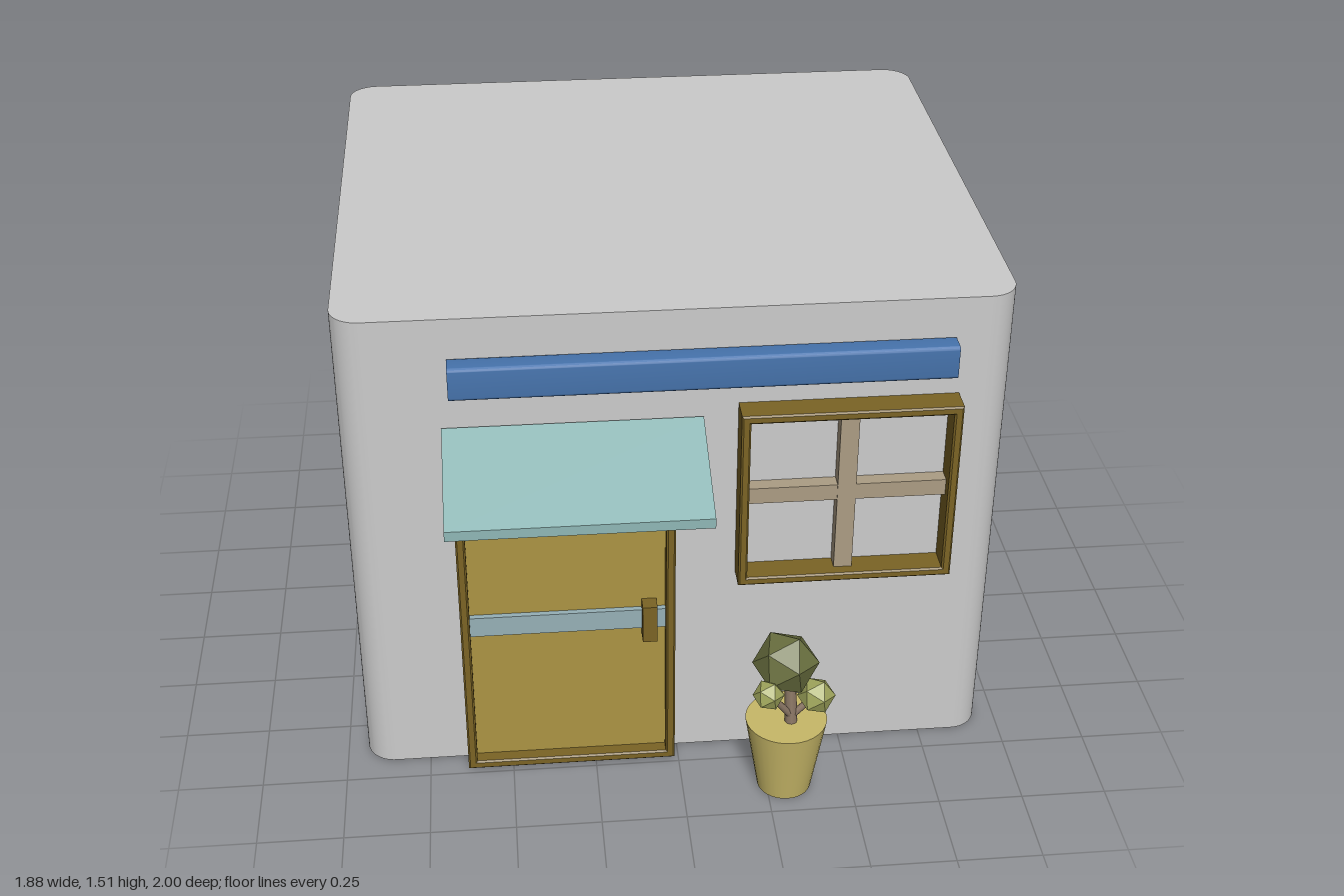
import * as THREE from 'three';
import { toCreasedNormals } from 'three/addons/utils/BufferGeometryUtils.js';

const WALL_Z = 0.67;

const mat = (color, flatShading = false) => new THREE.MeshStandardMaterial({ color, flatShading });
const grey = mat(0xcccccc);
const blue = mat(0x4673ac);
const teal = mat(0x8fb8b6);
const doorGold = mat(0xac9443);
const frameBrown = mat(0x7b6425);
const paleBlue = mat(0x96b0b6);
const barTan = mat(0xac9d84);
const potYellow = mat(0xc8b868);
const bark = mat(0x8c7866);
const darkLeaf = mat(0x6a7040, true);
const lightLeaf = mat(0xa0a65c, true);

function add(parent, name, geometry, material) {
  const mesh = new THREE.Mesh(geometry, material);
  mesh.name = name;
  parent.add(mesh);
  return mesh;
}

// Box given by its limits on each axis
function slab(parent, name, material, [x0, x1], [y0, y1], [z0, z1]) {
  const mesh = add(parent, name, new THREE.BoxGeometry(x1 - x0, y1 - y0, z1 - z0), material);
  mesh.position.set((x0 + x1) / 2, (y0 + y1) / 2, (z0 + z1) / 2);
  return mesh;
}

function roundedRect(w, h, r) {
  const s = new THREE.Shape();
  s.absarc(w / 2 - r, h / 2 - r, r, 0, Math.PI / 2);
  s.absarc(-w / 2 + r, h / 2 - r, r, Math.PI / 2, Math.PI);
  s.absarc(-w / 2 + r, -h / 2 + r, r, Math.PI, Math.PI * 1.5);
  s.absarc(w / 2 - r, -h / 2 + r, r, Math.PI * 1.5, Math.PI * 2);
  s.closePath();
  return s;
}

const extrude = (shape, depth, curveSegments = 8) =>
  toCreasedNormals(new THREE.ExtrudeGeometry(shape, { depth, bevelEnabled: false, curveSegments }), 0.6);

function rectPath(path, x0, x1, y0, y1) {
  path.moveTo(x0, y0);
  path.lineTo(x1, y0);
  path.lineTo(x1, y1);
  path.lineTo(x0, y1);
  path.closePath();
  return path;
}

// Rectangular frame with a slightly bevelled rim, fixed to the wall
function frame(parent, name, x0, x1, y0, y1, t, frontZ) {
  const bevel = 0.005;
  const shape = rectPath(new THREE.Shape(), x0, x1, y0, y1);
  shape.holes.push(rectPath(new THREE.Path(), x0 + t, x1 - t, y0 + t, y1 - t));
  const geometry = new THREE.ExtrudeGeometry(shape, {
    depth: frontZ - WALL_Z - bevel, bevelThickness: bevel, bevelSize: bevel, bevelOffset: -bevel, bevelSegments: 1,
  });
  add(parent, name, geometry, frameBrown).position.z = WALL_Z;
}

// Thin round stem between two points
function stem(parent, name, from, to, r) {
  const a = new THREE.Vector3(...from);
  const b = new THREE.Vector3(...to);
  const mesh = add(parent, name, new THREE.CylinderGeometry(r * 0.85, r, a.distanceTo(b), 8), bark);
  mesh.position.copy(a).lerp(b, 0.5);
  mesh.quaternion.setFromUnitVectors(new THREE.Vector3(0, 1, 0), b.clone().sub(a).normalize());
}

function createPlant() {
  const plant = new THREE.Group();
  plant.name = 'pottedPlant';
  add(plant, 'pot', new THREE.CylinderGeometry(0.12, 0.08, 0.245, 32), potYellow).position.set(0.304, 0.1225, 0.868);
  stem(plant, 'trunk', [0.316, 0.23, 0.885], [0.31, 0.42, 0.87], 0.019);
  stem(plant, 'leftBranch', [0.316, 0.265, 0.885], [0.24, 0.378, 0.92], 0.011);
  stem(plant, 'rightBranch', [0.316, 0.265, 0.885], [0.385, 0.335, 0.885], 0.011);
  // Faceted foliage balls
  const balls = [
    ['crown', 0.3, 0.43, 0.845, 0.098, darkLeaf],
    ['leftFoliage', 0.24, 0.378, 0.925, 0.046, lightLeaf],
    ['rightFoliage', 0.387, 0.335, 0.885, 0.056, lightLeaf],
  ];
  for (const [name, x, y, z, r, material] of balls) {
    const ball = add(plant, name, new THREE.IcosahedronGeometry(r, 0), material);
    ball.position.set(x, y, z);
    ball.rotation.set(0.3, 0.4, 0.15);
  }
  return plant;
}

export function createModel() {
  const shop = new THREE.Group();
  shop.name = 'shop';

  // Building block with rounded upright corners
  const walls = add(shop, 'building', extrude(roundedRect(1.88, 1.67, 0.085), 1.51), grey);
  walls.rotation.x = -Math.PI / 2;
  walls.position.z = -0.165;

  // Sign board, long edges slightly rounded
  const sign = add(shop, 'signBoard', extrude(roundedRect(0.065, 0.1, 0.01), 1.395, 3), blue);
  sign.rotation.y = Math.PI / 2;
  sign.position.set(-0.63, 1.34, 0.7);

  // Sloping awning, cross-section in (-z, y)
  const section = new THREE.Shape([
    [-1, 1.02], [-0.68, 1.147], [-0.68, 1.177], [-1, 1.05],
  ].map(([x, y]) => new THREE.Vector2(x, y)));
  const awning = add(shop, 'awning', extrude(section, 0.725), teal);
  awning.rotation.y = Math.PI / 2;
  awning.position.x = -0.655;

  const door = new THREE.Group();
  door.name = 'door';
  frame(door, 'doorFrame', -0.635, -0.012, 0.01, 1.08, 0.027, 0.745);
  slab(door, 'doorPanel', doorGold, [-0.61, -0.037], [0.03, 1.06], [0.66, 0.705]);
  slab(door, 'pushBar', paleBlue, [-0.608, -0.039], [0.49, 0.555], [0.7, 0.722]);
  slab(door, 'doorHandle', frameBrown, [-0.108, -0.065], [0.46, 0.583], [0.7, 0.752]);
  shop.add(door);

  const win = new THREE.Group();
  win.name = 'window';
  frame(win, 'windowFrame', 0.168, 0.787, 0.642, 1.21, 0.026, 0.75);
  slab(win, 'uprightBar', barTan, [0.45, 0.503], [0.645, 1.19], [0.66, 0.715]);
  slab(win, 'crossBar', barTan, [0.19, 0.765], [0.9, 0.95], [0.66, 0.713]);
  shop.add(win);

  shop.add(createPlant());
  return shop;
}
